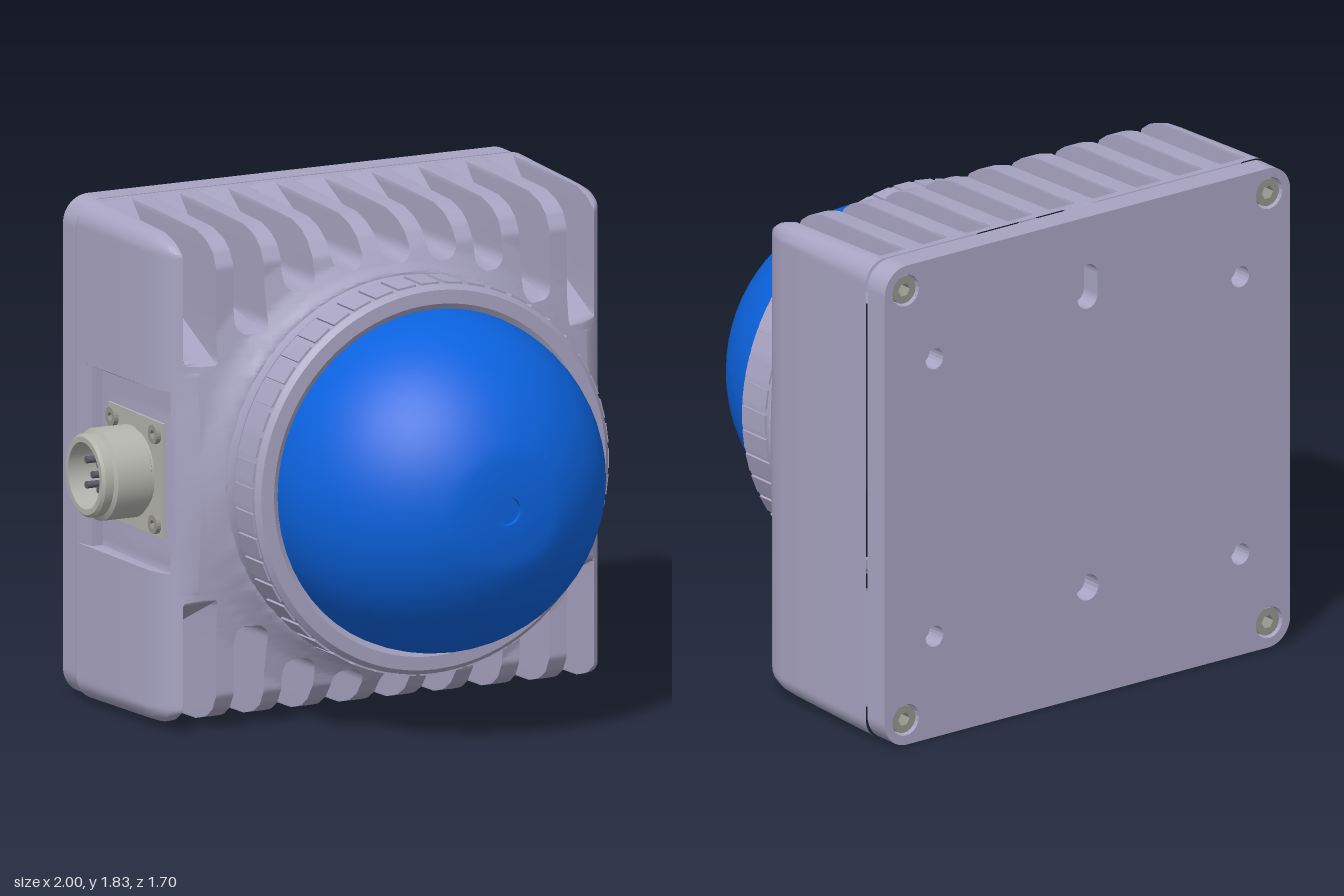
import * as THREE from 'three';
import { toCreasedNormals } from 'three/addons/utils/BufferGeometryUtils.js';

const CX = 0.08, CY = 0.92, HALF = 0.915, INNER = 0.832, R = HALF - INNER;
const SLOT_ENDS = [0.74, 0.73, 0.67, 0.53, 0.4]; // inner end of each cooling slot, by distance from the middle
const PITCH = 0.192;

const paint = (color) => new THREE.MeshStandardMaterial({ color });
const shellMat = paint(0xa8a4c2), domeMat = paint(0x0b62de);
const metalMat = paint(0xb4b4ae), screwMat = paint(0x96968e), darkMat = paint(0x5c5a66);

function part(name, geometry, material, parent, x = 0, y = 0, z = 0) {
  const mesh = new THREE.Mesh(geometry, material);
  mesh.name = name;
  mesh.position.set(x, y, z);
  parent.add(mesh);
  return mesh;
}

function lathe(points, segments = 64) {
  const g = new THREE.LatheGeometry(points.map(([r, h]) => new THREE.Vector2(r, h)), segments);
  return toCreasedNormals(g, 0.5);
}

// Linear interpolation through ascending [key, value] pairs
function interp(pairs, k) {
  if (k <= pairs[0][0]) return pairs[0][1];
  for (let i = 1; i < pairs.length; i++) {
    const [a, va] = pairs[i - 1], [b, vb] = pairs[i];
    if (k <= b) return va + (vb - va) * (k - a) / (b - a);
  }
  return pairs[pairs.length - 1][1];
}

// Housing front without slots: drafted wall, rounded rim, flare up to the neck, side recess
const RIM = [[0, -0.74], [0.018, -0.22], [0.04, -0.14], [0.075, -0.09], [0.13, -0.06]];
const FLARE = [[0.71, 0.02], [0.74, -0.005], [0.79, -0.035], [0.89, -0.06]];
function frontZ(x, y) {
  const ax = Math.abs(x), ay = Math.abs(y);
  const corner = R - Math.hypot(Math.max(ax - INNER, 0), Math.max(ay - INNER, 0));
  const d = ax > INNER && ay > INNER ? corner : HALF - Math.max(ax, ay);
  let z = interp(RIM, Math.max(d, 0)) + Math.max(0, interp(FLARE, Math.hypot(x, y)) + 0.06);
  if (x < -0.8625 && ay < 0.3325) z = Math.min(z, -0.64);
  return z;
}

// Slot floor: steep ramp from the back, then a shallow run out to the front
function slotFloor(end, a) {
  const mid = Math.max(0.59, end + 0.03);
  return interp([[end, 0.02], [mid, -0.39], [HALF, -0.71]], a);
}

function slotWidth(end, a) {
  const t = Math.min(Math.max((a - end) / 0.055, 0), 1);
  return Math.max(0.012, 0.057 * Math.sqrt(1 - (1 - t) ** 2));
}

// One row of the housing surface at height y
function housingRow(y) {
  const a = Math.abs(y), row = [];
  const put = (x, z) => row.push([x, y, z]);
  const reach = Math.sqrt(Math.max(0, R * R - Math.max(0, a - INNER) ** 2));
  const edge = [0, 0.2, 0.34, 0.38, 0.56, 0.68, 0.78, 0.9, 1];
  for (const t of [...edge].reverse()) put(-INNER - t * reach, frontZ(-INNER - t * reach, y));
  for (let k = -4; k <= 4; k++) {
    const c = k * PITCH, end = SLOT_ENDS[Math.abs(k)], w = slotWidth(end, a);
    for (const s of [-w - 0.004, -w, 0, w, w + 0.004]) {
      const cut = Math.abs(s) <= w && a > end;
      const z = frontZ(c + s, y);
      put(c + s, cut ? Math.min(z, slotFloor(end, a)) : z);
    }
    // land between this slot and the next
    if (k < 4) {
      const from = c + w + 0.004;
      const to = c + PITCH - slotWidth(SLOT_ENDS[Math.abs(k + 1)], a) - 0.004;
      for (const t of [0.25, 0.5, 0.75]) put(from + (to - from) * t, frontZ(from + (to - from) * t, y));
    }
  }
  for (const t of edge) put(INNER + t * reach, frontZ(INNER + t * reach, y));
  return row;
}

function housingGeometry() {
  const heights = new Set([0, HALF, 0.9145, 0.913, 0.91, 0.906, 0.897, 0.33, 0.335]);
  for (let a = 0.03; a < 0.38; a += 0.03) heights.add(a);
  for (let a = 0.38; a < 0.9; a += 0.01) heights.add(+a.toFixed(3));
  for (const e of SLOT_ENDS) for (const o of [0, 0.002, 0.005, 0.014, 0.025, 0.03]) heights.add(+(e + o).toFixed(3));
  const up = [...heights].sort((p, q) => p - q);
  const rows = [...up.slice(1).reverse().map((a) => -a), ...up].map(housingRow);
  const n = rows[0].length, index = [];
  for (let i = 0; i < rows.length - 1; i++) {
    for (let j = 0; j < n - 1; j++) {
      const p = i * n + j;
      index.push(p, p + 1, p + n + 1, p, p + n + 1, p + n);
    }
  }
  const g = new THREE.BufferGeometry();
  g.setAttribute('position', new THREE.Float32BufferAttribute(rows.flat(2), 3));
  g.setIndex(index);
  g.computeVertexNormals();
  return toCreasedNormals(g, 0.6);
}

function roundedSquare(h, r) {
  const s = new THREE.Shape();
  s.absarc(h - r, h - r, r, 0, Math.PI / 2);
  s.absarc(r - h, h - r, r, Math.PI / 2, Math.PI);
  s.absarc(r - h, r - h, r, Math.PI, Math.PI * 1.5);
  s.absarc(h - r, r - h, r, Math.PI * 1.5, Math.PI * 2);
  s.closePath();
  return s;
}

function circlePath(x, y, r, Type = THREE.Path) {
  const p = new Type();
  p.absarc(x, y, r, 0, Math.PI * 2, true);
  return p;
}

const extrude = (shape, depth) =>
  new THREE.ExtrudeGeometry(shape, { depth, bevelEnabled: false, curveSegments: 10 });

// Screw head with a hexagonal socket, facing +z
function screwGeometry(r, depth) {
  const s = circlePath(0, 0, r, THREE.Shape);
  const hex = new THREE.Path();
  hex.setFromPoints([0, 1, 2, 3, 4, 5].map((i) =>
    new THREE.Vector2(Math.cos(i * Math.PI / 3), Math.sin(i * Math.PI / 3)).multiplyScalar(r * 0.5)));
  s.holes.push(hex);
  return extrude(s, depth);
}

const fourCorners = (x, y) => [[x, y], [-x, y], [x, -y], [-x, -y]];

function addBackPlate(root) {
  const g = new THREE.Group();
  g.name = 'backPlate';
  root.add(g);
  const shape = roundedSquare(HALF, 0.1);
  for (const [x, y] of fourCorners(0.82, 0.82)) shape.holes.push(circlePath(x, y, 0.06));
  for (const [x, y] of fourCorners(0.69, 0.53)) shape.holes.push(circlePath(x, y, 0.04));
  shape.holes.push(circlePath(0, -0.5, 0.05));
  const slot = new THREE.Path();
  slot.absarc(0, 0.69, 0.045, 0, Math.PI);
  slot.absarc(0, 0.61, 0.045, Math.PI, Math.PI * 2);
  slot.closePath();
  shape.holes.push(slot);
  part('plate', extrude(shape, 0.1), shellMat, g, CX, CY, -0.85);
  part('gasket', extrude(roundedSquare(HALF - 0.006, 0.095), 0.03), shellMat, g, CX, CY, -0.77);
  for (const [x, y] of fourCorners(0.82, 0.82)) {
    part('plateScrew', screwGeometry(0.052, 0.06), screwMat, g, CX + x, CY + y, -0.84);
  }
}

function addLens(root) {
  const g = new THREE.Group();
  g.name = 'lensAssembly';
  g.position.set(CX, CY, 0);
  g.rotation.x = Math.PI / 2;
  root.add(g);
  part('neck', lathe([[0.73, -0.01], [0.705, 0.01], [0.7, 0.03], [0.7, 0.065], [0.68, 0.066], [0.68, 0.085]]), shellMat, g);
  part('clampRing', lathe([[0.67, 0.078], [0.7, 0.078], [0.713, 0.095], [0.713, 0.25], [0.695, 0.268],
    [0.645, 0.27], [0.62, 0.255]], 96), shellMat, g);
  // raised grip pads around the ring
  for (let i = 0; i < 48; i++) {
    const a = i * Math.PI / 24;
    const pad = part('gripPad', new THREE.BoxGeometry(0.03, 0.135, 0.072), shellMat, g,
      0.705 * Math.cos(a), 0.175, 0.705 * Math.sin(a));
    pad.rotation.y = -a;
  }
  // dome with flat tip and small centre dimple
  const profile = [[0.625, 0.2]];
  for (let i = 0; i <= 14; i++) {
    const a = 1.259 * i / 14;
    profile.push([0.625 * Math.cos(a), 0.25 + 0.625 * Math.sin(a)]);
  }
  profile.push([0.052, 0.845], [0.05, 0.83], [0, 0.83]);
  part('dome', lathe(profile, 56), domeMat, g);
}

function addConnector(root) {
  const g = new THREE.Group();
  g.name = 'connector';
  g.position.set(-0.782, CY, -0.37);
  root.add(g);
  part('flange', new THREE.BoxGeometry(0.02, 0.42, 0.42), metalMat, g);
  for (const [y, z] of fourCorners(0.165, 0.165)) {
    part('flangeScrew', screwGeometry(0.035, 0.02), screwMat, g, -0.008, y, z).rotation.y = -Math.PI / 2;
  }
  const barrel = part('barrel', lathe([[0.15, 0], [0.15, 0.02], [0.168, 0.03], [0.168, 0.165], [0.152, 0.175],
    [0.152, 0.208], [0.142, 0.218], [0.122, 0.218], [0.122, 0.1], [0, 0.1]], 40), metalMat, g);
  barrel.rotation.z = Math.PI / 2;
  // contact pins: four around one
  for (let i = 0; i < 5; i++) {
    const a = Math.PI / 4 + i * Math.PI / 2, r = i < 4 ? 0.065 : 0;
    const pin = part('pin', new THREE.CylinderGeometry(0.013, 0.013, 0.09, 10), darkMat, g,
      -0.14, r * Math.cos(a), r * Math.sin(a));
    pin.rotation.z = Math.PI / 2;
  }
}

export function createModel() {
  const root = new THREE.Group();
  root.name = 'domeSensor';
  part('finnedHousing', housingGeometry(), shellMat, root, CX, CY, 0);
  addBackPlate(root);
  addLens(root);
  addConnector(root);
  return root;
}
